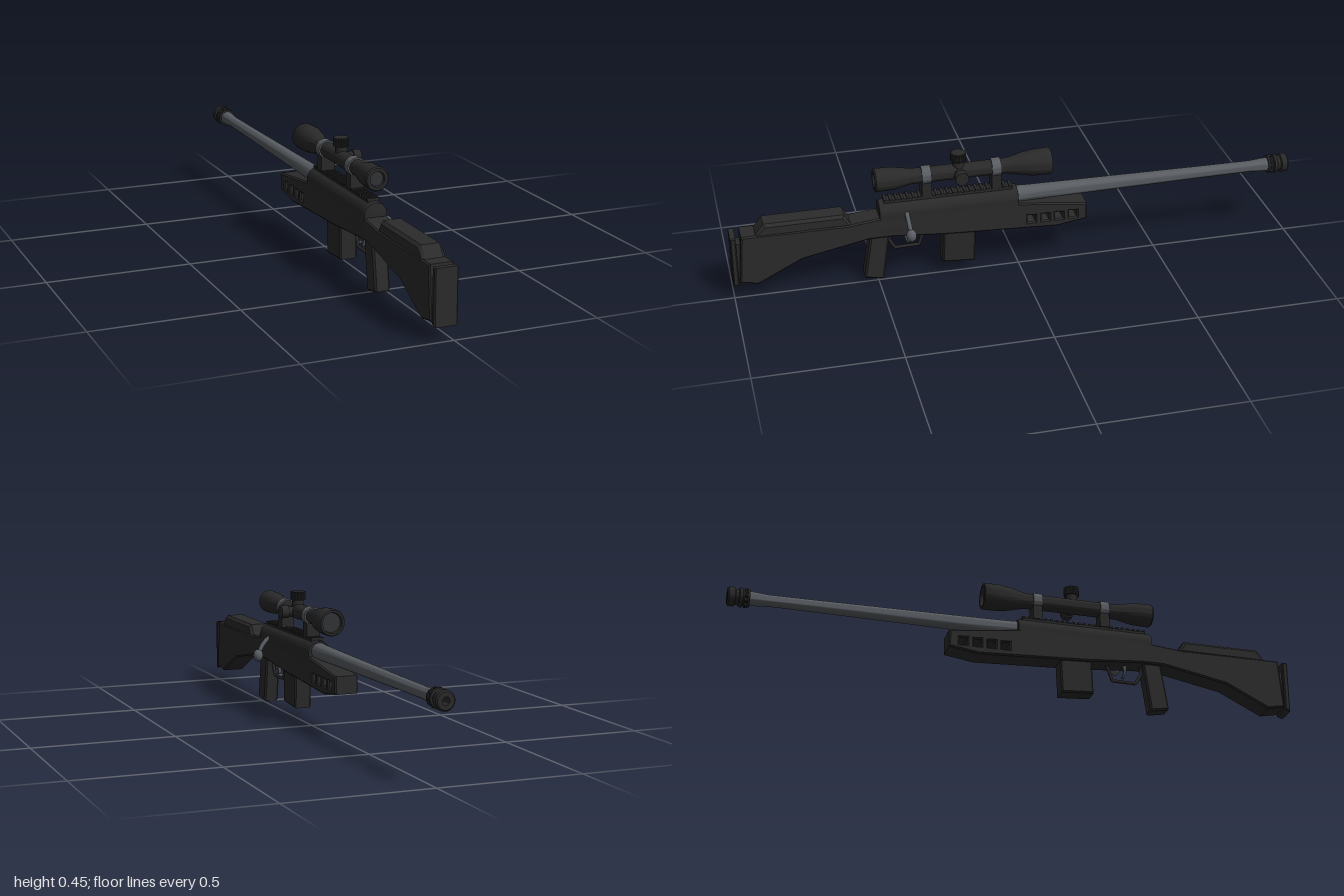
import * as THREE from 'three';
import { toCreasedNormals } from 'three/addons/utils/BufferGeometryUtils.js';

const mat = (name, color, side = THREE.FrontSide) => {
  const m = new THREE.MeshStandardMaterial({ color, side });
  m.name = name;
  return m;
};

export function createModel() {
  const polymer = mat('blackPolymer', 0x2b2b2b);
  const black = mat('blackMetal', 0x292929);
  const steel = mat('gunmetal', 0x595d62);
  const glass = mat('darkGlass', 0x303234);

  const root = new THREE.Group();
  root.name = 'rifle';
  // everything is built around the bore plane, then shifted so the bolt handle stays in bounds
  const gun = new THREE.Group();
  gun.name = 'rifleParts';
  gun.position.x = -0.028;
  root.add(gun);

  const add = (name, geo, material, x = 0, y = 0, z = 0) => {
    const m = new THREE.Mesh(geo, material);
    m.name = name;
    m.position.set(x, y, z);
    gun.add(m);
    return m;
  };
  const shapeOf = (pts) => new THREE.Shape(pts.map((p) => new THREE.Vector2(p[0], p[1])));

  // side outline in (z, y), given a width along x with bevelled edges
  const side = (pts, width, bevel = 0.006, holes = []) => {
    const s = shapeOf(pts);
    holes.forEach((h) => s.holes.push(new THREE.Path(h.map((p) => new THREE.Vector2(p[0], p[1])))));
    const depth = width - 2 * bevel;
    const g = new THREE.ExtrudeGeometry(s, {
      depth, bevelEnabled: bevel > 0, bevelSize: bevel, bevelThickness: bevel,
      bevelOffset: -bevel, bevelSegments: 1,
    });
    return g.translate(0, 0, -depth / 2).rotateY(-Math.PI / 2);
  };

  // turned part along z from [radius, z] points
  const turned = (pts, seg = 32) => toCreasedNormals(
    new THREE.LatheGeometry(pts.map((p) => new THREE.Vector2(p[0], p[1])), seg).rotateX(Math.PI / 2), 0.6);

  // toothed disc extruded along z
  const gear = (r, depth, teeth, cut) => {
    const pts = [];
    for (let i = 0; i < teeth * 4; i++) {
      const a = (i / (teeth * 4)) * Math.PI * 2;
      const rr = i % 4 < 2 ? r : r - cut;
      pts.push([Math.cos(a) * rr, Math.sin(a) * rr]);
    }
    return new THREE.ExtrudeGeometry(shapeOf(pts), { depth, bevelEnabled: false });
  };

  // stock with four see-through windows in the fore-end
  const windows = [-0.045, -0.095, -0.145, -0.195].map((z) => [
    [z - 0.014, 0.164], [z - 0.014, 0.189], [z + 0.014, 0.191], [z + 0.014, 0.164]]);
  add('stock', side([
    [-0.245, 0.152], [-0.14, 0.136], [0.25, 0.155], [0.45, 0.172], [0.53, 0.172], [0.76, 0.127],
    [0.915, 0.05], [0.978, 0.062], [0.963, 0.238], [0.6, 0.236], [0.49, 0.248], [0, 0.244], [-0.245, 0.214],
  ], 0.084, 0.005, windows), polymer);
  add('cheekRest', side([
    [0.92, 0.23], [0.885, 0.275], [0.61, 0.275], [0.585, 0.23]], 0.08, 0.01), polymer);
  add('buttSpacer', new THREE.BoxGeometry(0.05, 0.13, 0.03), black, 0, 0.14, 0.972);
  add('buttPlate', side([
    [0.981, 0.055], [1, 0.048], [1, 0.236], [0.981, 0.236]], 0.08, 0.004), polymer);
  add('grip', side([
    [0.455, 0.18], [0.48, 0.002], [0.487, 0], [0.545, 0.01], [0.548, 0.018], [0.522, 0.18]], 0.054, 0.006), polymer);

  // magazine
  add('magazine', side([
    [0.152, 0.16], [0.157, 0.032], [0.272, 0.04], [0.267, 0.17]], 0.062, 0.005), black);

  // trigger and its guard
  const guard = new THREE.CurvePath();
  const gp = [[0.33, 0.165], [0.35, 0.108], [0.435, 0.106], [0.455, 0.14], [0.458, 0.175]]
    .map((p) => new THREE.Vector3(0, p[1], p[0]));
  for (let i = 1; i < gp.length; i++) guard.add(new THREE.LineCurve3(gp[i - 1], gp[i]));
  add('triggerGuard', new THREE.TubeGeometry(guard, 40, 0.006, 8), black);
  add('trigger', side([
    [0.385, 0.175], [0.392, 0.145], [0.385, 0.122], [0.392, 0.12], [0.402, 0.145], [0.402, 0.175]], 0.012, 0.002), steel);

  // round-topped receiver
  const rs = new THREE.Shape();
  rs.moveTo(-0.042, 0.19);
  rs.lineTo(0.042, 0.19);
  rs.lineTo(0.042, 0.256);
  rs.absarc(0, 0.256, 0.042, 0, Math.PI, false);
  const receiver = new THREE.ExtrudeGeometry(rs, {
    depth: 0.478, bevelEnabled: true, bevelSize: 0.008, bevelThickness: 0.006,
    bevelOffset: -0.008, bevelSegments: 2, curveSegments: 24,
  });
  add('receiver', toCreasedNormals(receiver, 0.5), black, 0, 0, 0.006);

  // toothed sight rail
  add('rail', new THREE.BoxGeometry(0.04, 0.012, 0.45), black, 0, 0.296, 0.245);
  for (let i = 0; i < 23; i++) {
    add('railTooth', new THREE.BoxGeometry(0.046, 0.006, 0.01), black, 0, 0.304, 0.025 + i * 0.02);
  }

  // tapered barrel and muzzle brake
  add('barrel', turned([
    [0, -0.94], [0.024, -0.94], [0.024, -0.91], [0.02, -0.86], [0.021, -0.7], [0.026, -0.2], [0.028, -0.04], [0.03, 0.02], [0, 0.02],
  ]), steel, 0, 0.262, 0);
  add('muzzleBrake', turned([
    [0, -0.96], [0.013, -0.96], [0.013, -1], [0.028, -1], [0.033, -0.995], [0.033, -0.975], [0.027, -0.972],
    [0.027, -0.962], [0.033, -0.959], [0.033, -0.949], [0.027, -0.946], [0.027, -0.936], [0.031, -0.932], [0.031, -0.925], [0, -0.925],
  ]), black, 0, 0.262, 0);
  add('muzzleTeeth', gear(0.034, 0.01, 10, 0.006), black, 0, 0.262, -0.942);

  // bolt handle with egg-shaped knob
  const bolt = new THREE.CatmullRomCurve3([
    new THREE.Vector3(0.025, 0.262, 0.395), new THREE.Vector3(0.045, 0.252, 0.395),
    new THREE.Vector3(0.068, 0.228, 0.393), new THREE.Vector3(0.082, 0.2, 0.39)]);
  add('boltHandle', new THREE.TubeGeometry(bolt, 16, 0.008, 12), steel);
  add('boltKnob', new THREE.SphereGeometry(0.018, 24, 16).scale(1, 1.25, 1), steel, 0.085, 0.193, 0.39);

  // telescopic sight
  const sy = 0.377;
  add('scopeTube', turned([
    [0, -0.105], [0.034, -0.105], [0.036, -0.12], [0.044, -0.12], [0.047, -0.115], [0.046, -0.06], [0.04, -0.02],
    [0.03, 0.02], [0.027, 0.04], [0.027, 0.37], [0.031, 0.39], [0.039, 0.43], [0.041, 0.495],
    [0.037, 0.5], [0.026, 0.5], [0.024, 0.488], [0, 0.488],
  ], 40), black, 0, sy, 0);
  add('frontLens', new THREE.CircleGeometry(0.034, 32).rotateY(Math.PI), glass, 0, sy, -0.107);
  add('rearLens', new THREE.CircleGeometry(0.024, 32), glass, 0, sy, 0.49);
  for (const z of [0.075, 0.32]) {
    add('scopeMount', new THREE.BoxGeometry(0.048, 0.052, 0.034), black, 0, 0.329, z);
    add('scopeRing', turned([[0.026, -0.016], [0.032, -0.016], [0.032, 0.016], [0.026, 0.016]]), steel, 0, sy, z);
  }

  // adjustment turrets
  add('turretNeck', new THREE.CylinderGeometry(0.02, 0.022, 0.05, 24), black, 0, 0.4, 0.205);
  add('topTurret', gear(0.027, 0.03, 20, 0.003).rotateX(-Math.PI / 2), black, 0, 0.418, 0.205);
  add('sideTurretNeck', new THREE.CylinderGeometry(0.018, 0.018, 0.04, 24).rotateZ(Math.PI / 2), black, 0.03, sy, 0.205);
  add('sideTurret', new THREE.CylinderGeometry(0.023, 0.023, 0.027, 28).rotateZ(Math.PI / 2), black, 0.0535, sy, 0.205);

  return root;
}
